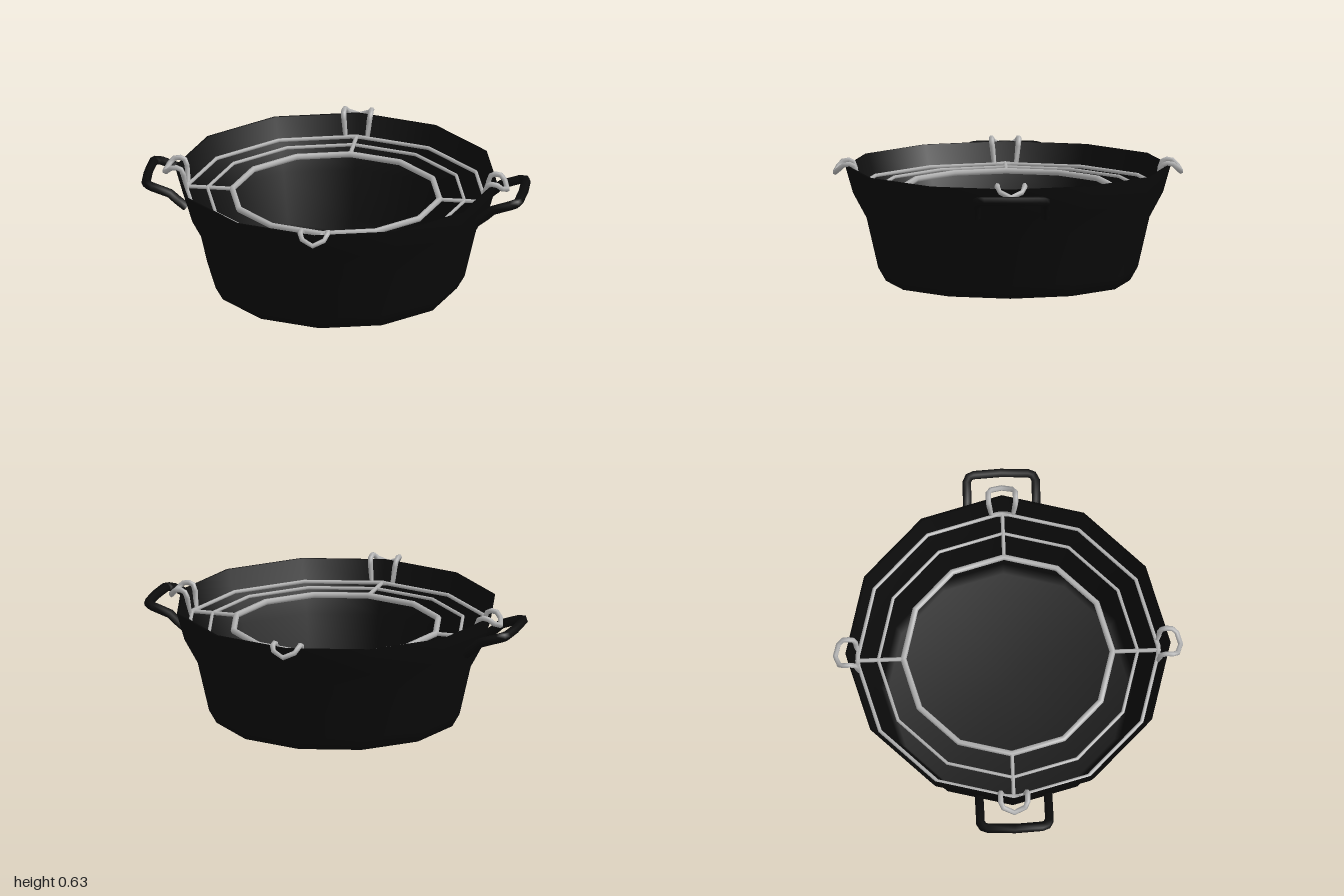
import * as THREE from 'three';

const black = new THREE.MeshStandardMaterial({ color: 0x0b0b0b });
black.name = 'blackIron';
const steel = new THREE.MeshStandardMaterial({ color: 0xb2b2b2 });
steel.name = 'steelWire';

const SIDES = 12;
const RACK_Y = 0.49;

// Sweeps a round bar along a polyline; centre is a point the path bends around
function sweep(points, radius, centre, closed, sides = 6) {
  const pts = points.map((p) => new THREE.Vector3(...p));
  const mid = new THREE.Vector3(...centre);
  const n = pts.length;
  const pos = [];
  const index = [];
  pts.forEach((p, i) => {
    const prev = closed ? pts[(i + n - 1) % n] : pts[Math.max(i - 1, 0)];
    const next = closed ? pts[(i + 1) % n] : pts[Math.min(i + 1, n - 1)];
    const t = next.clone().sub(prev).normalize();
    const out = p.clone().sub(mid);
    out.addScaledVector(t, -out.dot(t)).normalize();
    const side = t.clone().cross(out);
    for (let j = 0; j < sides; j++) {
      const a = ((j + 0.5) / sides) * Math.PI * 2;
      const v = p.clone()
        .addScaledVector(out, Math.cos(a) * radius)
        .addScaledVector(side, Math.sin(a) * radius);
      pos.push(v.x, v.y, v.z);
    }
  });
  for (let i = 0; i < (closed ? n : n - 1); i++) {
    const k = (i + 1) % n;
    for (let j = 0; j < sides; j++) {
      const m = (j + 1) % sides;
      const a = i * sides + j, b = i * sides + m, c = k * sides + m, d = k * sides + j;
      index.push(a, b, c, a, c, d);
    }
  }
  const g = new THREE.BufferGeometry();
  g.setAttribute('position', new THREE.Float32BufferAttribute(pos, 3));
  g.setIndex(index);
  g.computeVertexNormals();
  return g;
}

export function createModel() {
  const model = new THREE.Group();
  model.name = 'roastingPot';
  const add = (name, geometry, material, parent = model) => {
    const mesh = new THREE.Mesh(geometry, material);
    mesh.name = name;
    parent.add(mesh);
    return mesh;
  };

  // Twelve-sided pot: outside profile, rim, then back down the inside
  const profile = [
    [0, 0], [0.63, 0], [0.67, 0.07], [0.73, 0.33], [0.8, 0.46], [0.84, 0.6],
    [0.825, 0.6], [0.785, 0.465], [0.715, 0.335], [0.655, 0.075], [0.62, 0.02], [0, 0.02],
  ].map(([r, y]) => new THREE.Vector2(r, y));
  add('pot', new THREE.LatheGeometry(profile, SIDES), black);

  // Side handles, their ends buried in the wall
  const arm = [
    [0.755, 0.45, 0.178], [0.8, 0.485, 0.178], [0.84, 0.52, 0.178],
    [0.935, 0.552, 0.178], [0.96, 0.558, 0.165], [0.97, 0.56, 0.14],
  ];
  const mirrored = arm.map(([x, y, z]) => [x, y, -z]).reverse();
  const handlePath = [...arm, [0.977, 0.56, 0], ...mirrored];
  const handleGeometry = sweep(handlePath, 0.025, [0.84, 0.51, 0], false);
  add('leftHandle', handleGeometry, black);
  add('rightHandle', handleGeometry, black).rotation.y = Math.PI;

  // Wire rack hanging inside the rim
  const rack = new THREE.Group();
  rack.name = 'rack';
  model.add(rack);
  const rings = [['innerRing', 0.54, 0.016], ['middleRing', 0.67, 0.009], ['outerRing', 0.78, 0.01]];
  for (const [name, radius, wire] of rings) {
    const ring = add(name, new THREE.TorusGeometry(radius, wire, 6, SIDES), steel, rack);
    ring.rotation.x = Math.PI / 2;
    ring.position.y = RACK_Y;
  }

  // Four spokes, each with a bent wire hook over the rim
  const spoke = new THREE.CylinderGeometry(0.011, 0.011, 0.24, 6);
  spoke.rotateX(Math.PI / 2).translate(0, RACK_Y, 0.66);
  const half = [
    [0.057, RACK_Y, 0.776], [0.066, 0.58, 0.785], [0.07, 0.61, 0.797],
    [0.07, 0.62, 0.82], [0.07, 0.615, 0.85], [0.057, 0.592, 0.873],
  ];
  const otherHalf = half.map(([x, y, z]) => [-x, y, z]).reverse();
  const hookPath = [[0, RACK_Y, 0.776], ...half, [0, 0.567, 0.892], ...otherHalf];
  const hook = sweep(hookPath, 0.014, [0, 0.57, 0.82], true);
  ['front', 'left', 'back', 'right'].forEach((name, i) => {
    const turn = (i * Math.PI) / 2;
    add(name + 'Spoke', spoke, steel, rack).rotation.y = turn;
    add(name + 'Hook', hook, steel, rack).rotation.y = turn;
  });

  return model;
}
